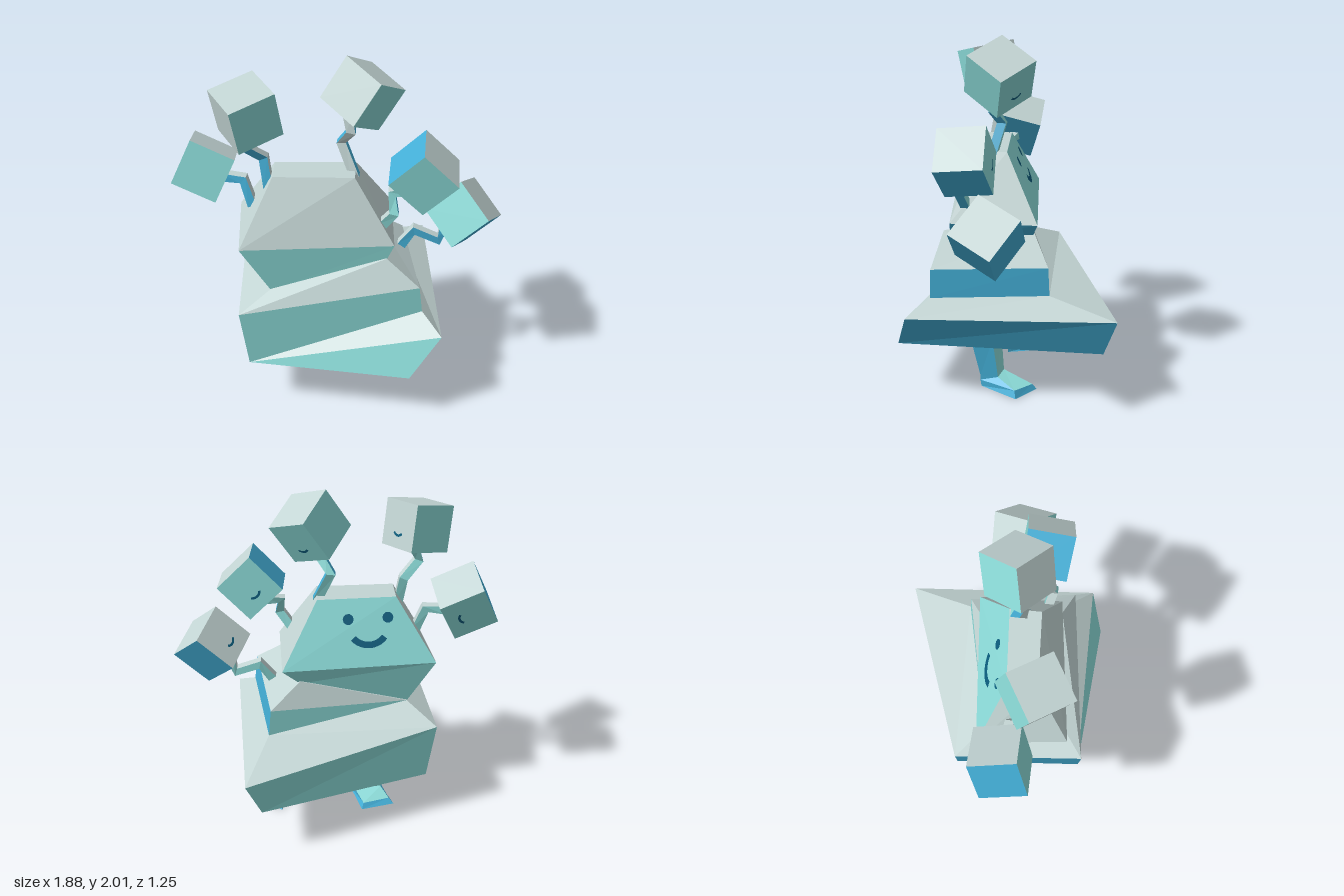
import * as THREE from 'three';

const mat = (name, color, side = THREE.FrontSide) => {
  const m = new THREE.MeshStandardMaterial({ color, side });
  m.name = name;
  return m;
};

export function createModel() {
  const grey = mat('pale grey', 0xc3d5d4);
  const teal = mat('teal', 0x8cdcd9);
  const blue = mat('blue', 0x44b0d8);
  const ink = mat('dark ink', 0x0b5c7c, THREE.DoubleSide);
  const palette = [grey, teal, blue];
  const model = new THREE.Group();
  const V = (a) => new THREE.Vector3(...a);

  // Four-cornered stack of rings. Corner order: right front, right back, left back, left front.
  // Each level has four letters (right, back, left, front side): G grey, T teal, B blue.
  function loft(name, rings, levels, bottom = 'B', top = 'G') {
    const tris = { G: [], T: [], B: [] };
    const tri = (key, a, b, c) => {
      const [A, B, C] = [V(a), V(b), V(c)];
      if (B.clone().sub(A).cross(C.clone().sub(A)).length() > 1e-6) tris[key].push(...a, ...b, ...c);
    };
    levels.forEach((keys, i) => {
      const lo = rings[i], hi = rings[i + 1];
      for (let j = 0; j < 4; j++) {
        const k = (j + 1) % 4;
        tri(keys[j], lo[j], lo[k], hi[k]);
        tri(keys[j], lo[j], hi[k], hi[j]);
      }
    });
    const [f, l] = [rings[0], rings[rings.length - 1]];
    tri(bottom, f[0], f[2], f[1]);
    tri(bottom, f[0], f[3], f[2]);
    tri(top, l[0], l[1], l[2]);
    tri(top, l[0], l[2], l[3]);
    const geo = new THREE.BufferGeometry();
    const all = [];
    ['G', 'T', 'B'].forEach((key, m) => {
      geo.addGroup(all.length / 3, tris[key].length / 3, m);
      all.push(...tris[key]);
    });
    geo.setAttribute('position', new THREE.Float32BufferAttribute(all, 3));
    geo.computeVertexNormals();
    const mesh = new THREE.Mesh(geo, palette);
    mesh.name = name;
    model.add(mesh);
  }

  // Flat mouth arc, with optional eyes, facing local +z
  function smile(name, width, eyes) {
    const g = new THREE.Group();
    g.name = name;
    const r = width * 0.62;
    const mouth = new THREE.Mesh(new THREE.RingGeometry(r - width * 0.1, r + width * 0.1, 10, 1, Math.PI * 1.22, Math.PI * 0.56), ink);
    mouth.name = 'mouth';
    mouth.position.y = eyes ? 0.035 : r;
    g.add(mouth);
    if (eyes) for (const s of [-1, 1]) {
      const eye = new THREE.Mesh(new THREE.CircleGeometry(0.032, 10), ink);
      eye.name = 'eye';
      eye.position.set(s * 0.115, 0.07, 0);
      g.add(eye);
    }
    return g;
  }

  // Body: tiers on the right that pinch together on the left
  const RF0 = [0.45, 0.3, 0.62], RB0 = [0.42, 0.3, -0.55], LB0 = [-0.55, 0.3, -0.2], LF0 = [-0.47, 0.3, 0.56];
  const RF1 = [0.62, 0.535, 0.53], RB1 = [0.5, 0.535, -0.625], LB1 = [-0.6, 0.64, -0.195];
  const RF2 = [0.505, 0.62, 0.41], RB2 = [0.385, 0.62, -0.24], LF3 = [-0.515, 0.64, 0.56];
  const RF3 = [0.485, 0.78, 0.41], RB3 = [0.37, 0.78, -0.23], LBi = [-0.43, 0.73, -0.04];
  const RF4 = [0.295, 0.92, 0.34], RB4 = [0.2, 0.92, -0.13], LFi = [-0.35, 0.73, 0.42];
  loft('body', [
    [RF0, RB0, LB0, LF0],
    [RF1, RB1, LB1, LF0],
    [RF2, RB2, LB1, LF0],
    [RF2, RB2, LB1, LF3],
    [RF2, RB2, LBi, LF3],
    [RF3, RB3, LBi, LF3],
    [RF4, RB4, LBi, LFi],
  ], ['BTBT', 'GGGG', 'BTBT', 'GGGG', 'BTBT', 'GGGG']);

  // Head
  loft('head', [
    [[0.29, 0.9, 0.335], [0.2, 0.9, -0.12], [-0.43, 0.72, -0.03], [-0.35, 0.72, 0.42]],
    [[0.335, 1.0, 0.33], [0.3, 1.0, -0.16], [-0.59, 1.0, -0.06], [-0.515, 1.0, 0.45]],
    [[0.105, 1.36, 0.22], [0.1, 1.36, 0.04], [-0.355, 1.36, 0.08], [-0.345, 1.36, 0.25]],
  ], ['BTBT', 'GTGG']);

  // Face on the sloping back of the head
  const face = smile('face', 0.19, true);
  const fx = new THREE.Vector3(-0.994, 0, 0.113);
  const fz = fx.clone().cross(V([0.017, 0.36, 0.17])).normalize();
  face.setRotationFromMatrix(new THREE.Matrix4().makeBasis(fx, fz.clone().cross(fx), fz));
  face.position.set(-0.195, 1.19, -0.013).addScaledVector(fz, 0.008);
  model.add(face);

  // Cube heads: centre, up, smiling direction, colours of local +x -x +y -y +z -z
  const size = 0.266;
  const cubes = [
    ['topCube', [0.133, 1.795, 0.075], [0.143, 0.223, -0.05], [0.122, -0.117, -0.205], 'TTGBGT'],
    ['upperRightCube', [-0.474, 1.737, 0.235], [-0.042, 0.254, 0.067], [0.217, 0.058, -0.142], 'TTGBGG'],
    ['lowerRightCube', [-0.75, 1.326, 0.1], [-0.249, 0.116, 0], [-0.032, -0.069, -0.255], 'GGBBTT'],
    ['upperLeftCube', [0.48, 1.403, 0.205], [0.185, 0.19, 0.02], [0.005, 0.025, -0.265], 'BBGBTT'],
    ['lowerLeftCube', [0.715, 1.07, 0.05], [0.206, 0.19, 0], [-0.16, 0.165, -0.133], 'BTGBBG'],
  ];
  const byKey = { G: grey, T: teal, B: blue };
  for (const [name, centre, up, front, keys] of cubes) {
    const g = new THREE.Group();
    g.name = name;
    const z = V(front).normalize().negate();
    const x = V(up).cross(z).normalize();
    g.setRotationFromMatrix(new THREE.Matrix4().makeBasis(x, z.clone().cross(x), z));
    g.position.set(...centre);
    const box = new THREE.Mesh(new THREE.BoxGeometry(size, size, size), [...keys].map((k) => byKey[k]));
    box.name = 'block';
    const s = smile('cubeSmile', 0.07, false);
    s.rotation.y = Math.PI;
    s.position.set(0, -0.06, -size / 2 - 0.004);
    g.add(box, s);
    model.add(g);
  }

  // Zigzag arms: path points bent in the x-y plane, square section
  function arm(name, pts, keys, h = 0.026) {
    const rings = pts.map((p, i) => {
      const a = pts[Math.max(i - 1, 0)], b = pts[Math.min(i + 1, pts.length - 1)];
      const d = new THREE.Vector2(b[0] - a[0], b[1] - a[1]).normalize();
      const at = (s, t) => [p[0] + s * h * d.y, p[1] - s * h * d.x, p[2] + t * h];
      return [at(1, 1), at(1, -1), at(-1, -1), at(-1, 1)];
    });
    loft(name, rings, pts.slice(1).map(() => keys));
  }
  arm('topArm', [[0.1, 1.32, 0.13], [0.02, 1.51, 0.08], [0.075, 1.59, 0.12], [0.055, 1.69, 0.1]], 'BTBG');
  arm('upperRightArm', [[-0.375, 1.27, 0.2], [-0.4, 1.44, 0.17], [-0.49, 1.53, 0.23], [-0.46, 1.61, 0.2]], 'GTBB');
  arm('lowerRightArm', [[-0.48, 1.12, 0.15], [-0.53, 1.27, 0.12], [-0.65, 1.27, 0.1]], 'GTBB');
  arm('upperLeftArm', [[0.26, 1.09, 0.25], [0.325, 1.18, 0.27], [0.31, 1.28, 0.22], [0.41, 1.29, 0.2]], 'BTGT');
  arm('lowerLeftArm', [[0.37, 0.84, 0.06], [0.44, 0.94, 0.05], [0.585, 0.885, 0.06], [0.615, 0.99, 0.05]], 'BTGB');

  // Legs with feet splayed toward the back
  loft('rightLeg', [
    [[-0.1, 0, 0.07], [-0.17, 0, -0.165], [-0.37, 0, -0.11], [-0.275, 0, 0.07]],
    [[-0.1, 0.04, 0.07], [-0.18, 0.03, -0.14], [-0.34, 0.03, -0.09], [-0.275, 0.04, 0.07]],
    [[-0.1, 0.07, 0.065], [-0.12, 0.07, -0.02], [-0.29, 0.07, -0.02], [-0.275, 0.07, 0.065]],
    [[-0.105, 0.19, 0.05], [-0.12, 0.2, -0.065], [-0.31, 0.22, -0.06], [-0.275, 0.19, 0.05]],
    [[-0.08, 0.31, 0.12], [-0.09, 0.31, 0], [-0.28, 0.31, 0], [-0.255, 0.31, 0.12]],
  ], ['BBBT', 'BTBT', 'BTBT', 'BTBG']);
  loft('leftLeg', [
    [[0.34, 0, 0.16], [0.465, 0, -0.06], [0.33, 0, -0.165], [0.235, 0, 0.14]],
    [[0.34, 0.04, 0.165], [0.44, 0.04, -0.05], [0.33, 0.03, -0.14], [0.23, 0.04, 0.145]],
    [[0.34, 0.07, 0.165], [0.35, 0.07, 0.06], [0.25, 0.07, 0.04], [0.225, 0.07, 0.15]],
    [[0.345, 0.31, 0.22], [0.35, 0.31, 0.09], [0.17, 0.31, 0.07], [0.12, 0.31, 0.19]],
  ], ['BBBG', 'BTBG', 'BTBG']);

  return model;
}
